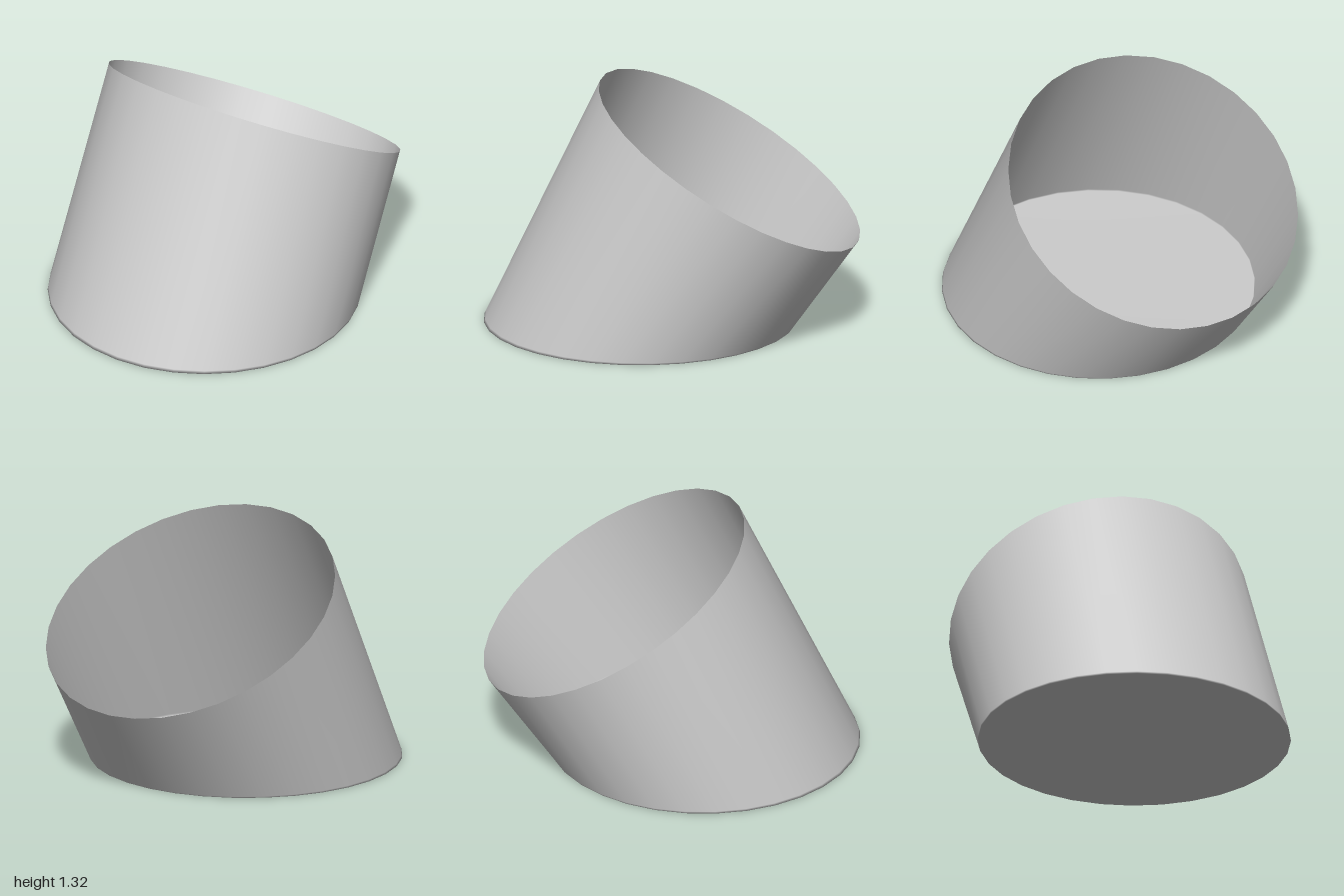
import * as THREE from 'three';

const SIDES = 32;

// Point on the wall: t = 0 is the level base circle, t = 1 the tilted rim
function wallPoint(angle, t) {
  const s = Math.sin(angle), c = Math.cos(angle);
  const base = new THREE.Vector3(0.83 * s, 0, 0.17 + 0.83 * c);
  const rim = new THREE.Vector3(0.81 * s, 0.898 + 0.417 * c, -0.308 + 0.692 * c);
  return base.lerp(rim, t);
}

// Thin leaning cup: flat floor fan, narrow band at the base, then the wall
function cupGeometry() {
  const levels = [0, 0.012, 1];
  const positions = [0, 0, 0.17];
  const index = [];
  for (const t of levels)
    for (let i = 0; i < SIDES; i++)
      positions.push(...wallPoint((i / SIDES) * Math.PI * 2, t).toArray());

  const id = (level, i) => 1 + level * SIDES + (i % SIDES);
  for (let i = 0; i < SIDES; i++) {
    index.push(0, id(0, i + 1), id(0, i));
    for (let l = 0; l < levels.length - 1; l++) {
      index.push(id(l, i), id(l, i + 1), id(l + 1, i + 1));
      index.push(id(l, i), id(l + 1, i + 1), id(l + 1, i));
    }
  }

  const geometry = new THREE.BufferGeometry();
  geometry.setAttribute('position', new THREE.Float32BufferAttribute(positions, 3));
  geometry.setIndex(index);
  geometry.computeVertexNormals();
  return geometry;
}

export function createModel() {
  const group = new THREE.Group();
  group.name = 'leaningCup';
  const material = new THREE.MeshStandardMaterial({ color: 0xcccccc, side: THREE.DoubleSide });
  const cup = new THREE.Mesh(cupGeometry(), material);
  cup.name = 'cupWallAndFloor';
  group.add(cup);
  return group;
}
